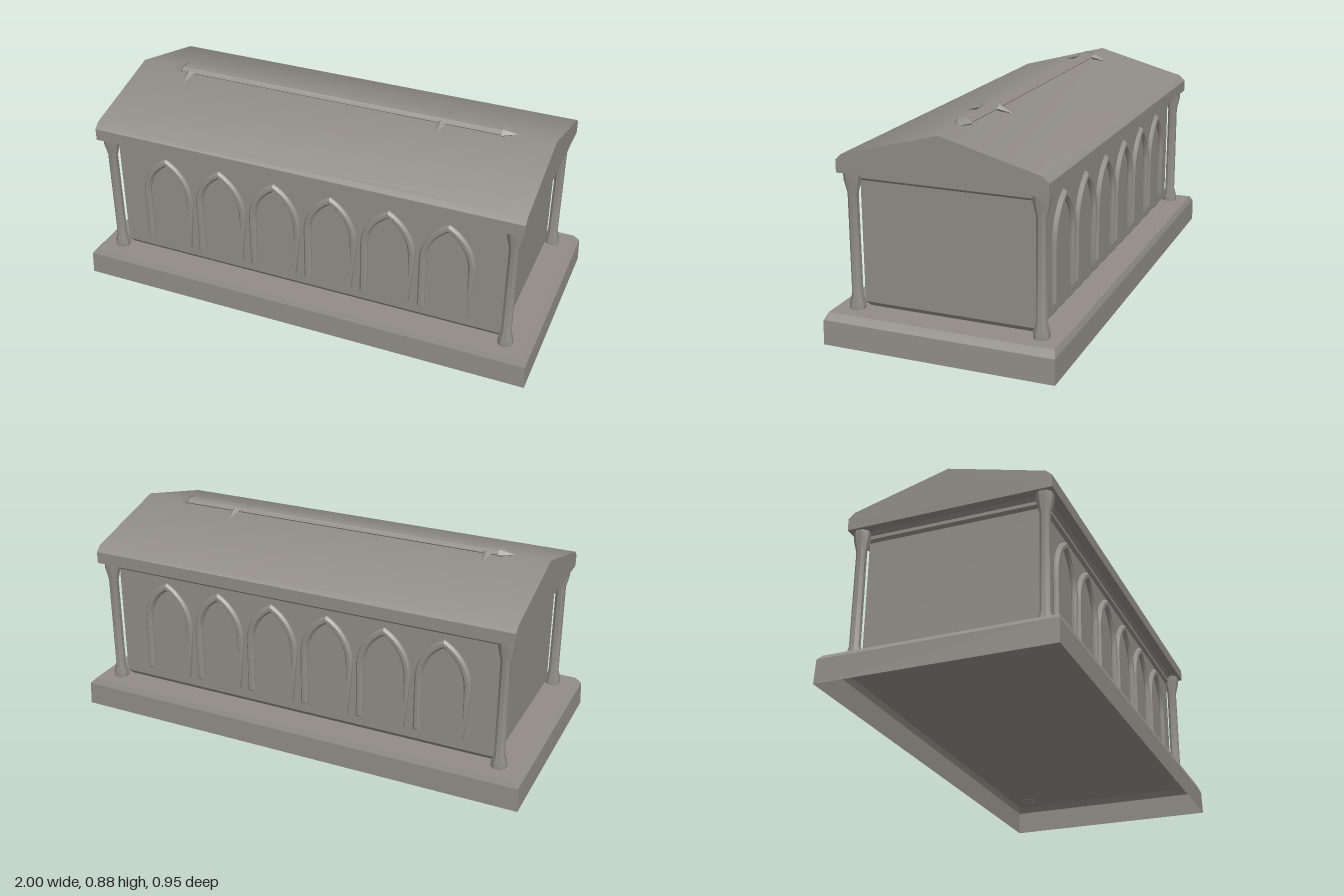
import * as THREE from 'three';
import { toCreasedNormals } from 'three/addons/utils/BufferGeometryUtils.js';

// Stack of rectangular rings, each level is [y, halfX, halfZ], closed on top
function rectLoft(levels) {
  const pos = [];
  const ring = ([y, hx, hz]) => [[hx, y, hz], [hx, y, -hz], [-hx, y, -hz], [-hx, y, hz]];
  const quad = (a, b, c, d) => pos.push(...a, ...b, ...c, ...a, ...c, ...d);
  for (let i = 0; i < levels.length - 1; i++) {
    const lo = ring(levels[i]), hi = ring(levels[i + 1]);
    for (let k = 0; k < 4; k++) {
      const n = (k + 1) % 4;
      quad(lo[k], lo[n], hi[n], hi[k]);
    }
  }
  quad(...ring(levels[levels.length - 1]));
  const geo = new THREE.BufferGeometry();
  geo.setAttribute('position', new THREE.Float32BufferAttribute(pos, 3));
  geo.computeVertexNormals();
  return geo;
}

// Pointed arch moulding with bevelled section, legs standing at y = bottom
function archGeometry() {
  const bevel = 0.009, bottom = 0.2, spring = 0.425, r0 = 0.212, centre = 0.094;
  const rOut = r0 - bevel, rIn = r0 - 0.031 + bevel;
  const s = new THREE.Shape();
  const aOut = Math.acos(centre / rOut), aIn = Math.acos(centre / rIn);
  s.moveTo(rOut - centre, bottom);
  s.absarc(-centre, spring, rOut, 0, aOut, false);
  s.absarc(centre, spring, rOut, Math.PI - aOut, Math.PI, false);
  s.lineTo(centre - rOut, bottom);
  s.lineTo(centre - rIn, bottom);
  s.absarc(centre, spring, rIn, Math.PI, Math.PI - aIn, true);
  s.absarc(-centre, spring, rIn, aIn, 0, true);
  s.lineTo(rIn - centre, bottom);
  s.closePath();
  const geo = new THREE.ExtrudeGeometry(s, {
    depth: 0.006, bevelEnabled: true, bevelThickness: 0.01, bevelSize: bevel,
    bevelSegments: 1, curveSegments: 8,
  });
  return toCreasedNormals(geo, 0.5);
}

export function createModel() {
  const model = new THREE.Group();
  model.name = 'stoneTomb';
  const stone = new THREE.MeshStandardMaterial({ color: 0x918d86, side: THREE.DoubleSide });
  stone.name = 'warm grey stone';

  const add = (name, geo, parent = model) => {
    const mesh = new THREE.Mesh(geo, stone);
    mesh.name = name;
    parent.add(mesh);
    return mesh;
  };

  // Plinth, hollow underneath, with a chamfered upper edge
  add('plinth', rectLoft([[0, 1, 0.475], [0.1, 0.995, 0.473], [0.125, 0.97, 0.463]]));

  // Chest with undercut foot and stepped cornice
  const hx = 0.865, hz = 0.36;
  add('chest', rectLoft([
    [0.125, -0.015], [0.145, 0], [0.637, 0], [0.648, 0.012], [0.662, 0.012], [0.676, 0.025],
  ].map(([y, o]) => [y, hx + o, hz + o])));

  // Corner pillars, flared at foot and head
  const pillarProfile = [
    [0.033, 0.124], [0.033, 0.145], [0.022, 0.185], [0.021, 0.59], [0.033, 0.64], [0.035, 0.677],
  ].map(([r, y]) => new THREE.Vector2(r, y));
  const pillarGeo = toCreasedNormals(new THREE.LatheGeometry(pillarProfile, 8, Math.PI / 8), 0.5);
  for (const sx of [-1, 1]) for (const sz of [-1, 1]) {
    add('cornerPillar', pillarGeo).position.set(sx * 0.887, 0, sz * 0.381);
  }

  // Row of six arches on both long sides
  const archGeo = archGeometry();
  for (const side of [0, 1]) {
    const arcade = new THREE.Group();
    arcade.name = side ? 'backArcade' : 'frontArcade';
    arcade.rotation.y = side * Math.PI;
    for (let i = 0; i < 6; i++) {
      add('arch', archGeo, arcade).position.set((i - 2.5) * 0.2515 - (side ? -0.006 : 0.006), 0, hz + 0.003);
    }
    model.add(arcade);
  }

  // Gabled lid, softly shaded over the ridge
  const gable = new THREE.Shape([
    [-0.425, 0.676], [0.425, 0.676], [0.425, 0.727], [0.4, 0.75], [0, 0.858], [-0.4, 0.75], [-0.425, 0.727],
  ].map(([z, y]) => new THREE.Vector2(z, y)));
  const lidGeo = new THREE.ExtrudeGeometry(gable, { depth: 1.86, bevelEnabled: false });
  lidGeo.translate(0, 0, -0.93).rotateY(Math.PI / 2);
  add('lid', toCreasedNormals(lidGeo, 0.6));

  // Ridge staff with pointed ends
  const staff = new THREE.Group();
  staff.name = 'ridgeStaff';
  staff.position.set(-0.005, 0.857, 0);
  model.add(staff);
  const flat = (geo) => toCreasedNormals(geo, 0.3);
  const rodGeo = flat(new THREE.CylinderGeometry(0.03, 0.03, 1.45, 6).rotateZ(Math.PI / 2).scale(1, 0.55, 1));
  add('rod', rodGeo, staff);
  const tipGeo = flat(new THREE.ConeGeometry(0.038, 0.06, 6).rotateZ(-Math.PI / 2).scale(1, 0.58, 1));
  for (const sx of [-1, 1]) {
    const tip = add('staffTip', tipGeo, staff);
    tip.position.x = sx * 0.75;
    tip.rotation.y = sx < 0 ? Math.PI : 0;
  }

  // Leaf-shaped barbs across the staff, sloping with the lid
  const leafGeo = flat(new THREE.ConeGeometry(0.02, 0.068, 4).scale(1, 1, 0.7).rotateX(Math.PI / 2));
  for (const x of [-0.675, 0.47]) for (const side of [0, 1]) {
    const pivot = new THREE.Group();
    pivot.name = 'barb';
    pivot.position.x = x;
    pivot.rotation.y = side * Math.PI;
    const leaf = add('leaf', leafGeo, pivot);
    leaf.position.set(0, -0.005, 0.068);
    leaf.rotation.x = 0.3;
    staff.add(pivot);
  }
  return model;
}
